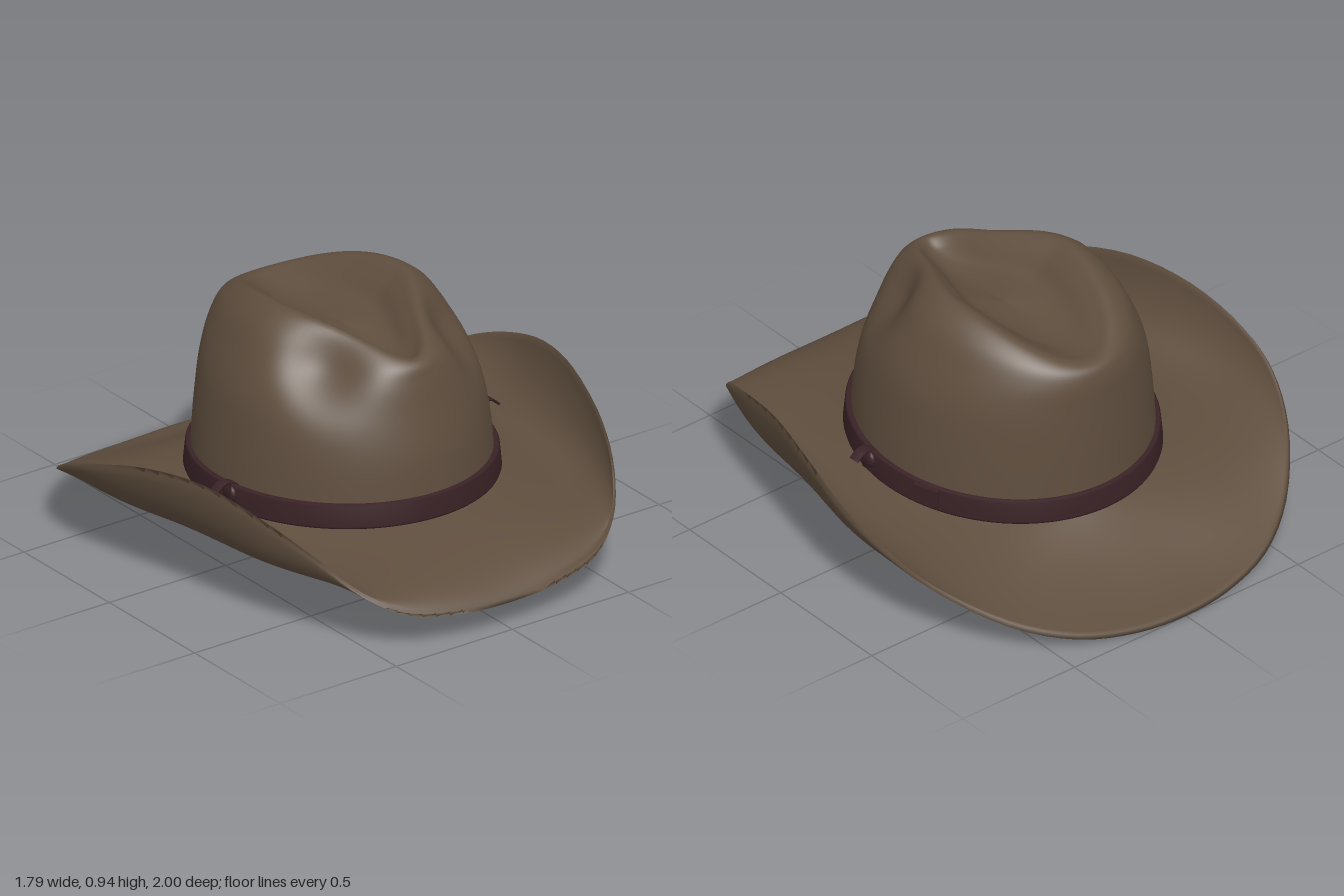
import * as THREE from 'three';

const SEG = 112;
const V = (x, y, z) => new THREE.Vector3(x, y, z);

// Skin a list of closed rings (each an array of points, counterclockwise from above)
function loft(rings, closed = true) {
  const n = rings[0].length, pos = [], idx = [];
  rings.forEach(r => r.forEach(p => pos.push(p.x, p.y, p.z)));
  for (let i = 0; i < rings.length - 1; i++) {
    for (let j = 0; j < (closed ? n : n - 1); j++) {
      const a = i * n + j, b = i * n + (j + 1) % n;
      idx.push(a, b, a + n, b, b + n, a + n);
    }
  }
  const g = new THREE.BufferGeometry();
  g.setAttribute('position', new THREE.Float32BufferAttribute(pos, 3));
  g.setIndex(idx);
  g.computeVertexNormals();
  return g;
}

// Blend front, side and back values around the hat; c = 1 front, -1 back
const around = (c, front, side, back) => side + ((c > 0 ? front : back) - side) * c * c;
const rimY = c => 0.25 + 0.02 * c;

// Crown: rings from the opening, over the ridge, down into the top dent
// [half width, front z, back z, y front, y side, y back, front taper]
const CROWN = [
  [0.514, 0.566, 0.552, 0.27, 0.25, 0.23, 0],
  [0.508, 0.562, 0.55, 0.36, 0.36, 0.35, 0],
  [0.492, 0.549, 0.548, 0.5, 0.5, 0.5, 0],
  [0.465, 0.515, 0.543, 0.65, 0.65, 0.65, 0],
  [0.417, 0.487, 0.537, 0.76, 0.77, 0.745, 0],
  [0.35, 0.468, 0.52, 0.81, 0.885, 0.79, 0.18],
  [0.268, 0.437, 0.485, 0.828, 0.937, 0.806, 0.4],
  [0.2, 0.38, 0.43, 0.8, 0.895, 0.8, 0.4],
  [0.13, 0.27, 0.3, 0.78, 0.825, 0.785, 0.3],
  [0, 0, 0, 0.795, 0.795, 0.795, 0],
];

function crownGeometry() {
  const steps = 54, columns = [];
  for (let j = 0; j < SEG; j++) {
    const t = j / SEG * Math.PI * 2, s = Math.sin(t), c = Math.cos(t);
    const pts = CROWN.map(([a, f, b, yf, ys, yb, taper]) =>
      V(a * s * (1 - taper * Math.max(0, c)), around(c, yf, ys, yb), c * (c > 0 ? f : b)));
    const column = new THREE.CatmullRomCurve3(pts).getPoints(steps);
    // finger pinches on both front shoulders
    column.forEach(p => {
      const dx = Math.abs(p.x) - 0.28, dy = p.y - 0.79, dz = p.z - 0.28;
      const k = 0.078 * Math.exp(-(dx * dx + dy * dy + dz * dz * 0.8) / 0.018);
      const side = Math.min(1, Math.abs(p.x) / 0.1) * Math.sign(p.x);
      p.add(V(-0.6 * side * k, -0.4 * k, -0.7 * k));
    });
    columns.push(column);
  }
  const rings = [];
  for (let i = 0; i <= steps; i++) rings.push(columns.map(col => col[i]));
  return loft(rings);
}

// Brim: half of the outer edge, from front to back, mirrored to a closed curve
const EDGE = [
  [0, 0.11, 0.995], [0.2, 0.118, 0.985], [0.4, 0.15, 0.942], [0.54, 0.228, 0.858],
  [0.635, 0.33, 0.735], [0.72, 0.423, 0.55], [0.8, 0.492, 0.28], [0.865, 0.477, 0.02],
  [0.897, 0.41, -0.22], [0.877, 0.34, -0.4], [0.8, 0.24, -0.58], [0.62, 0.115, -0.79],
  [0.42, 0.045, -0.92], [0.2, 0.012, -0.982], [0, 0.006, -1],
];

function brimGeometry() {
  const pts = EDGE.map(p => V(...p));
  const left = EDGE.slice(1, -1).reverse().map(([x, y, z]) => V(-x, y, z));
  const edge = new THREE.CatmullRomCurve3([...pts, ...left], true).getPoints(SEG).slice(0, SEG);
  // s runs from opening to edge; the sides dip, then roll up steeply, most of all at the front corners
  const ring = (s, lift, inset) => edge.map(e => {
    const t = Math.atan2(e.x, e.z), c = Math.cos(t), y0 = rimY(c);
    const corner = c > 0 ? 4 * c * c * (1 - c * c) : 0;
    const out = 1 - Math.pow(1 - s, around(c, 1.2, 1.4, 1) + 0.45 * corner) - inset * s;
    const rise = Math.pow(s, around(c, 2.6, 2.8, 1.1) + 0.9 * corner);
    const dip = 4 * s * (1 - s) * (around(c, 0.03, 0.035, 0.038) + 0.012 * corner);
    return V(
      THREE.MathUtils.lerp(0.514 * Math.sin(t), e.x, out),
      y0 + (e.y - y0) * rise - dip + lift,
      THREE.MathUtils.lerp((c > 0 ? 0.566 : 0.552) * c, e.z, out));
  });
  const rings = [], n = 24;
  for (let i = 0; i <= n; i++) rings.push(ring(i / n, -0.006, 0));
  for (let i = n; i >= 0; i--) rings.push(ring(i / n, 0.007, 0.02));
  return loft(rings);
}

// Band around the crown: section points are [offset from crown wall, height above its foot]
function bandGeometry(section, foot) {
  return loft(section.map(([off, h]) => {
    const ring = [];
    for (let j = 0; j < SEG; j++) {
      const t = j / SEG * Math.PI * 2, c = Math.cos(t);
      ring.push(V((0.513 + off) * Math.sin(t), foot(c) + h, (0.558 + off) * c + 0.005));
    }
    return ring;
  }));
}

// Thin strap: a flat ribbon along points in the x-y plane
function strapGeometry(points, width, z) {
  const path = new THREE.CatmullRomCurve3(points.map(([x, y]) => V(x, y, z))).getPoints(16);
  const h = width / 2, d = 0.005, side = Math.sign(points[0][0]);
  const section = [[-h, 0], [h, 0], [h, d], [-h, d], [-h, 0]];
  return loft(section.map(([w, o]) => path.map(p => V(p.x + o * side, p.y + o, p.z + w))), false);
}

export function createModel() {
  const felt = new THREE.MeshStandardMaterial({ color: 0x5f4e3e, side: THREE.DoubleSide });
  felt.name = 'brown felt';
  const leather = new THREE.MeshStandardMaterial({ color: 0x392226, side: THREE.DoubleSide });
  leather.name = 'dark leather';

  const hat = new THREE.Group();
  hat.name = 'hat';
  const add = (name, geometry, material, parent = hat) => {
    const mesh = new THREE.Mesh(geometry, material);
    mesh.name = name;
    parent.add(mesh);
    return mesh;
  };

  add('crown', crownGeometry(), felt);
  add('brim', brimGeometry(), felt);
  add('hatBand', bandGeometry(
    [[0, -0.004], [0.021, -0.004], [0.024, 0.004], [0.017, 0.077], [0.012, 0.083], [-0.005, 0.083]],
    c => rimY(c) + 0.008), leather);
  add('sweatBand', bandGeometry([[-0.014, 0.085], [-0.01, -0.004], [0.002, -0.008]], rimY), leather);

  // Knotted lace on each side
  for (const side of [1, -1]) {
    const lace = new THREE.Group();
    lace.name = side > 0 ? 'leftLace' : 'rightLace';
    const flip = pts => pts.map(([x, y]) => [x * side, y]);
    add('laceLoop', strapGeometry(flip([[0.515, 0.355], [0.55, 0.368], [0.58, 0.362], [0.605, 0.34]]), 0.04, 0.08), leather, lace);
    add('laceTail', strapGeometry(flip([[0.55, 0.366], [0.556, 0.33], [0.545, 0.28]]), 0.035, 0.085), leather, lace);
    const knot = add('laceKnot', new THREE.SphereGeometry(0.022, 12, 8), leather, lace);
    knot.scale.set(0.7, 1.4, 1);
    knot.position.set(0.532 * side, 0.315, 0.08);
    hat.add(lace);
  }

  // Overlapping end of the band
  const tab = add('bandEnd', new THREE.BoxGeometry(0.02, 0.07, 0.1), leather);
  tab.position.set(0.502, 0.295, -0.19);
  tab.rotation.y = 0.32;
  return hat;
}
